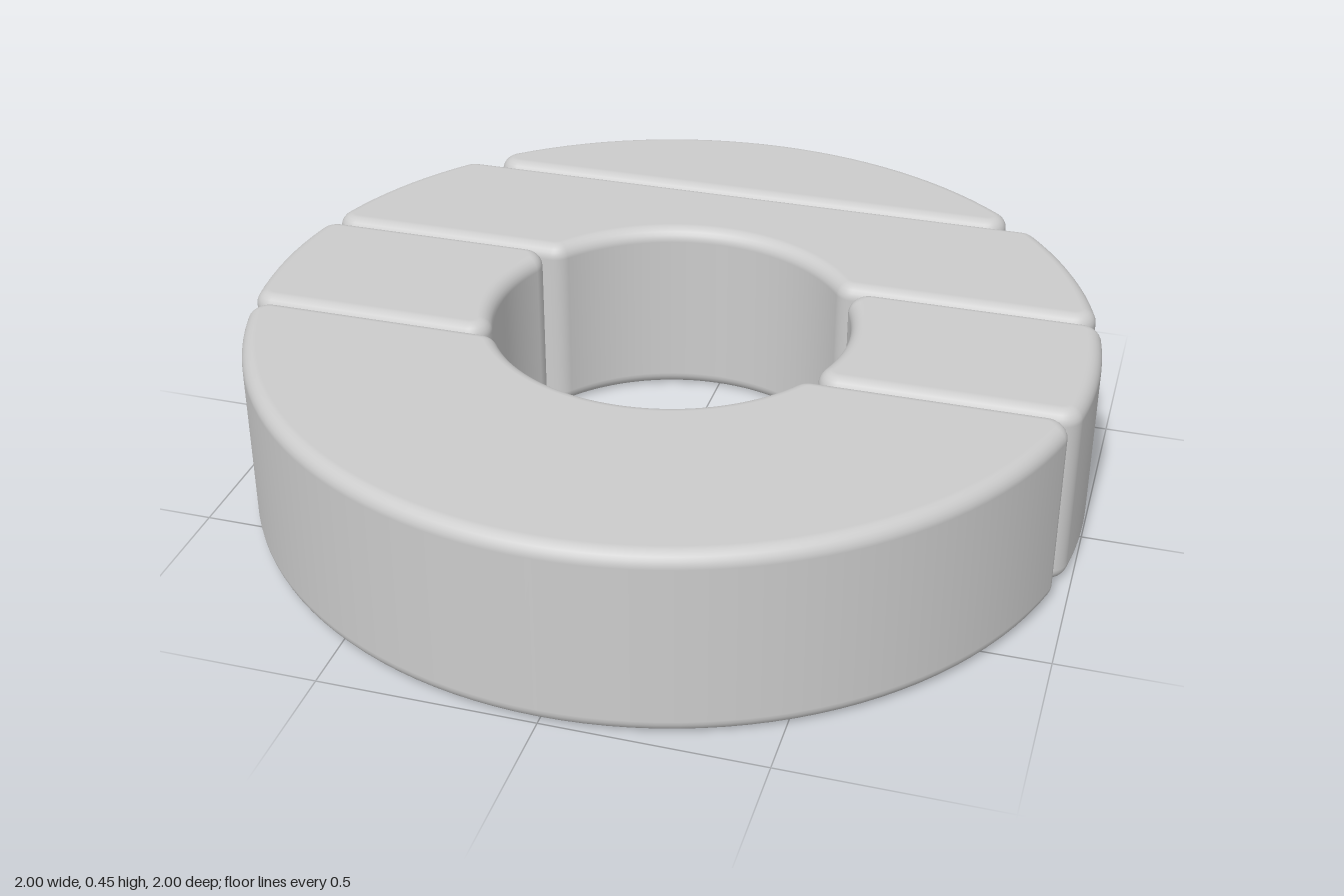
import * as THREE from 'three';

const HEIGHT = 0.452, OUTER = 1, INNER = 0.421;
const CORNER = 0.05;            // rounding of upright corners
const EDGE = 0.035;             // rounding of top and bottom edges
const CUTS = [-0.662, -0.226, 0.212];
const RO = OUTER - CORNER, RI = INNER + CORNER;
const FRONT = Math.PI / 2, BACK = -Math.PI / 2; // directions the flat cut faces look

// Angle where a circle of radius r meets the line z, on the right or the left side
const right = (z, r) => Math.asin(z / r);
const left = (z, r) => Math.PI - Math.asin(z / r);

// Curved wall: points on the inset outline with the direction each one faces
function arc(r, t0, t1, facing = 0) {
  const n = Math.max(8, Math.ceil(Math.abs(t1 - t0) / 0.05));
  return Array.from({ length: n + 1 }, (_, i) => {
    const t = t0 + ((t1 - t0) * i) / n;
    return { x: r * Math.cos(t), z: r * Math.sin(t), phi: t + facing };
  });
}
const outerWall = (t0, t1) => arc(RO, t0, t1);
const innerWall = (t0, t1) => arc(RI, t0, t1, Math.PI);

// Joins walls (arrays) and flat cuts (a facing angle) into a loop with round corners
function outline(parts) {
  const count = parts.length;
  const edges = parts.map((p, i) => {
    if (Array.isArray(p)) return p;
    const start = parts[(i + count - 1) % count].at(-1);
    const end = parts[(i + 1) % count][0];
    return [{ ...start, phi: p }, { ...end, phi: p }];
  });
  const loop = [];
  edges.forEach((edge, i) => {
    loop.push(...edge);
    const a = edge.at(-1), b = edges[(i + 1) % count][0];
    const turn = Math.atan2(Math.sin(b.phi - a.phi), Math.cos(b.phi - a.phi));
    for (let k = 1; k < 8; k++) loop.push({ x: a.x, z: a.z, phi: a.phi + (turn * k) / 8 });
  });
  return loop;
}

// Stacks the loop into a solid with rounded top and bottom edges
function block(name, parts) {
  const loop = outline(parts), n = loop.length, steps = 6;
  const positions = [], normals = [], index = [];
  const rings = [];
  for (let i = 0; i <= steps; i++) rings.push([EDGE, -Math.PI / 2 + (i / steps) * Math.PI / 2]);
  for (let i = 0; i <= steps; i++) rings.push([HEIGHT - EDGE, (i / steps) * Math.PI / 2]);

  for (const [y, a] of rings) {
    const offset = CORNER - EDGE + EDGE * Math.cos(a);
    for (const { x, z, phi } of loop) {
      const nx = Math.cos(phi), nz = Math.sin(phi);
      positions.push(x + nx * offset, y + EDGE * Math.sin(a), z + nz * offset);
      normals.push(nx * Math.cos(a), Math.sin(a), nz * Math.cos(a));
    }
  }
  for (let r = 0; r < rings.length - 1; r++) {
    for (let i = 0; i < n; i++) {
      const a = r * n + i, b = r * n + ((i + 1) % n);
      index.push(a, a + n, b, b, a + n, b + n);
    }
  }
  // Flat bottom and top
  const contour = loop.map((p, i) => new THREE.Vector2(positions[i * 3], positions[i * 3 + 2]));
  const top = (rings.length - 1) * n;
  for (const [a, b, c] of THREE.ShapeUtils.triangulateShape(contour, [])) {
    index.push(a, b, c, top + a, top + c, top + b);
  }

  const geometry = new THREE.BufferGeometry();
  geometry.setAttribute('position', new THREE.Float32BufferAttribute(positions, 3));
  geometry.setAttribute('normal', new THREE.Float32BufferAttribute(normals, 3));
  geometry.setIndex(index);
  const mesh = new THREE.Mesh(geometry, new THREE.MeshStandardMaterial({ color: 0xcccccc }));
  mesh.name = name;
  return mesh;
}

export function createModel() {
  const group = new THREE.Group();
  group.name = 'slicedRing';

  // Back cap, a plain circle segment
  let hi = CUTS[0] - CORNER, lo;
  group.add(block('backSegment', [
    outerWall(left(hi, RO), 2 * Math.PI + right(hi, RO)), FRONT,
  ]));

  // Band behind the hole
  lo = CUTS[0] + CORNER;
  hi = CUTS[1] - CORNER;
  group.add(block('backBand', [
    outerWall(right(lo, RO), right(hi, RO)), FRONT,
    innerWall(right(hi, RI), left(hi, RI) - 2 * Math.PI), FRONT,
    outerWall(left(hi, RO), left(lo, RO)), BACK,
  ]));

  // Short blocks on either side of the hole
  lo = CUTS[1] + CORNER;
  hi = CUTS[2] - CORNER;
  group.add(block('leftBlock', [
    outerWall(right(lo, RO), right(hi, RO)), FRONT,
    innerWall(right(hi, RI), right(lo, RI)), BACK,
  ]));
  group.add(block('rightBlock', [
    outerWall(left(hi, RO), left(lo, RO)), BACK,
    innerWall(left(lo, RI), left(hi, RI)), FRONT,
  ]));

  // Large front arch
  lo = CUTS[2] + CORNER;
  group.add(block('frontArch', [
    outerWall(right(lo, RO), left(lo, RO)), BACK,
    innerWall(left(lo, RI), right(lo, RI)), BACK,
  ]));

  return group;
}
